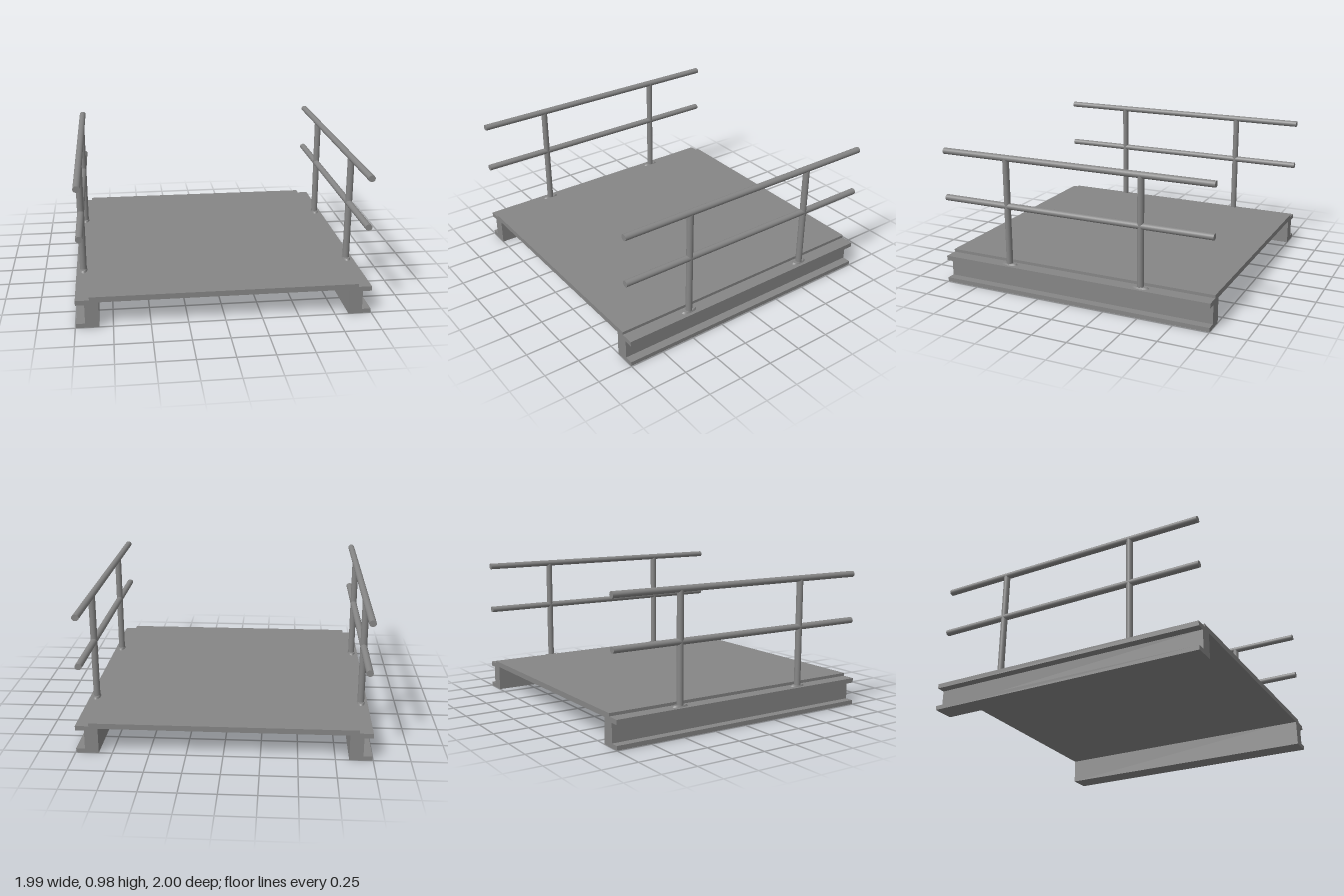
import * as THREE from 'three';

const LENGTH = 2;
const RAIL_X = 0.947;

export function createModel() {
  const model = new THREE.Group();
  model.name = 'walkwaySection';
  const material = new THREE.MeshStandardMaterial({ color: 0x868686 });

  const add = (parent, name, geometry, x = 0, y = 0, z = 0) => {
    const mesh = new THREE.Mesh(geometry, material);
    mesh.name = name;
    mesh.position.set(x, y, z);
    parent.add(mesh);
    return mesh;
  };

  // Deck slab resting between the beams
  add(model, 'deck', new THREE.BoxGeometry(1.806, 0.038, LENGTH), 0, 0.198, 0);

  // C-shaped beam profile (right half), open towards the outside
  const profile = [
    [0.842, 0], [0.995, 0], [0.995, 0.03], [0.935, 0.03],
    [0.935, 0.163], [0.995, 0.163], [0.995, 0.196], [0.842, 0.196],
  ];

  // Slightly oval tube, a little wider across the walkway
  const tube = (length) => new THREE.CylinderGeometry(1, 1, length, 24).scale(0.024, 1, 0.022);

  for (const side of [-1, 1]) {
    const label = side > 0 ? 'left' : 'right';

    // Side beam
    const shape = new THREE.Shape(profile.map(([x, y]) => new THREE.Vector2(x * side, y)));
    const beam = new THREE.ExtrudeGeometry(shape, { depth: LENGTH, bevelEnabled: false });
    add(model, label + 'Beam', beam, 0, 0, -LENGTH / 2);

    // Handrail: two long tubes on two posts
    const railing = new THREE.Group();
    railing.name = label + 'Railing';
    railing.position.x = side * RAIL_X;
    model.add(railing);

    for (const [name, y] of [['topRail', 0.96], ['midRail', 0.622]]) {
      add(railing, name, tube(LENGTH), 0, y, 0).rotation.x = Math.PI / 2;
    }
    for (const z of [-0.5, 0.5]) {
      add(railing, 'post', tube(0.76), 0, 0.575, z);
      // Oval foot plate with a sloping rim
      const foot = new THREE.CylinderGeometry(0.8, 1, 0.012, 24).scale(0.028, 1, 0.06);
      add(railing, 'postFoot', foot, 0, 0.201, z);
    }
  }
  return model;
}
